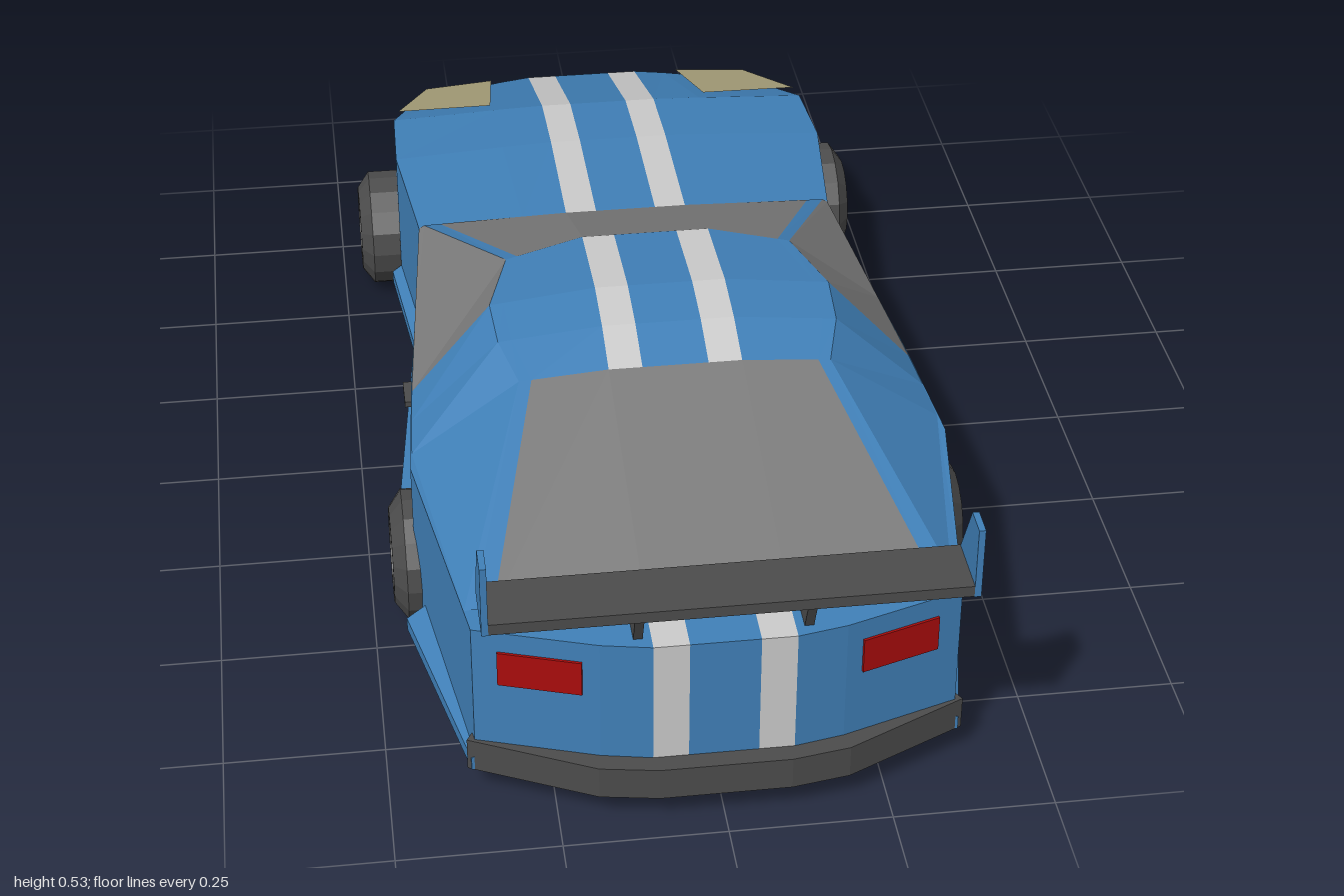
import * as THREE from 'three';

const mat = (color) => new THREE.MeshStandardMaterial({ color, flatShading: true, side: THREE.DoubleSide });
const PAINT = mat(0x4080b8), STRIPE = mat(0xcccccc), GLASS = mat(0x7c7c7c), DARK = mat(0x4c4c4c);
const RED = mat(0xaa0c0c), LAMP = mat(0xaaa27c), ORANGE = mat(0xd08038), RIM = mat(0xb4b4b4);

export function createModel() {
  const car = new THREE.Group();
  car.name = 'sportsCar';

  function add(name, geometry, material, parent = car) {
    const mesh = new THREE.Mesh(geometry, material);
    mesh.name = name;
    parent.add(mesh);
    return mesh;
  }

  // Skin over rows of points; pick(row, column) chooses the material of each quad
  function sheet(name, rows, pick) {
    const groups = new Map();
    for (let i = 0; i < rows.length - 1; i++) {
      for (let j = 0; j < rows[0].length - 1; j++) {
        const m = pick(i, j);
        if (!groups.has(m)) groups.set(m, []);
        const a = rows[i][j], b = rows[i][j + 1], c = rows[i + 1][j], d = rows[i + 1][j + 1];
        groups.get(m).push(...a, ...c, ...b, ...b, ...c, ...d);
      }
    }
    for (const [m, pos] of groups) {
      const g = new THREE.BufferGeometry();
      g.setAttribute('position', new THREE.Float32BufferAttribute(pos, 3));
      g.computeVertexNormals();
      const part = m === STRIPE ? 'Stripes' : m === GLASS ? 'Glass' : 'Panels';
      add(name + part, g, m);
    }
  }
  const flip = ([x, y, z]) => [-x, y, z];
  const mirrorRow = (half) => [...half.map(flip).reverse(), ...half];

  // Flat outline in (z, y), given a thickness along x and centred on x
  function plate(name, points, x, thickness, material) {
    const g = new THREE.ExtrudeGeometry(new THREE.Shape(points.map((p) => new THREE.Vector2(...p))),
      { depth: thickness, bevelEnabled: false });
    g.rotateY(-Math.PI / 2).translate(x + thickness / 2, 0, 0);
    return add(name, g, material);
  }

  // Lower hull stations: z, half width, centre height, edge height, bow of the edge in z
  const top = [
    [-1, 0.33, 0.215, 0.208, 0.05], [-0.7, 0.39, 0.315, 0.303, 0], [-0.53, 0.395, 0.331, 0.315, 0],
    [-0.27, 0.368, 0.335, 0.315, 0], [0.23, 0.415, 0.315, 0.315, 0], [0.45, 0.43, 0.315, 0.315, 0],
    [0.94, 0.368, 0.315, 0.315, -0.075],
  ];
  const floorY = [0.085, 0.07, 0.055, 0.05, 0.05, 0.05, 0.05];
  const floor = top.map(([z, w, , , bow], i) => [z, w, floorY[i], floorY[i], bow]);
  const noseMid = [-0.96, 0.325, 0.15, 0.15, 0.045];
  const hullRow = ([z, w, yc, ye, bow]) => mirrorRow([
    [0.053, yc, z], [0.107, yc, z],
    [w * 0.5, yc + (ye - yc) * 0.25, z + bow * 0.2], [w, ye, z + bow],
  ]);
  const striped = (j) => (j === 2 || j === 4 ? STRIPE : PAINT);
  sheet('hull', [...top, ...floor.slice().reverse()].map(hullRow), (i, j) => striped(j));
  sheet('nose', [floor[0], noseMid, top[0]].map(hullRow), () => PAINT);

  // Body sides
  const edge = ([z, w, , ye, bow]) => [w, ye, z + bow];
  const mids = top.map((t, i) => (i ? [t[0], t[1], 0, (t[3] + floorY[i]) / 2, t[4]] : noseMid));
  const side = [top, mids, floor].map((r) => r.map(edge));
  sheet('leftSide', side.map((r) => r.slice().reverse()), () => PAINT);
  sheet('rightSide', side.map((r) => r.map(flip)), () => PAINT);

  // Cabin stations: centre z and height, roof edge point, belt foot point
  const cabin = [
    [-0.265, 0.336, [0.36, 0.32, -0.28], [0.369, 0.314, -0.28]],
    [0.01, 0.452, [0.24, 0.442, 0.05], [0.398, 0.315, 0.05]],
    [0.2, 0.47, [0.28, 0.45, 0.2], [0.414, 0.315, 0.235]],
    [0.3, 0.46, [0.275, 0.443, 0.3], [0.42, 0.315, 0.32]],
    [0.39, 0.436, [0.25, 0.425, 0.39], [0.425, 0.315, 0.41]],
    [0.87, 0.318, [0.36, 0.317, 0.82], [0.374, 0.315, 0.82]],
  ];
  const cabinRows = cabin.map(([z, y, e, foot]) => {
    const k = (0.92 * e[0] - 0.107) / (e[0] - 0.107);
    const inset = [0.92 * e[0], y + (e[1] - y) * k, z + (e[2] - z) * k];
    return mirrorRow([[0.053, y, z], [0.107, y, z], inset, e, foot]);
  });
  sheet('cabin', cabinRows, (i, j) => {
    if (j === 0 || j === 8) return i < 2 ? GLASS : PAINT;
    if (j === 1 || j === 7) return PAINT;
    return i === 0 || i === 4 ? GLASS : j === 3 || j === 5 ? STRIPE : PAINT;
  });

  // Rear bumper follows the curve of the tail
  const half = [[0.36, 0.83], [0.38, 0.865], [0.19, 0.955], [0.1, 0.97]];
  const outline = [...half, ...half.map(([x, z]) => [-x, z]).reverse()];
  const bumper = new THREE.ExtrudeGeometry(new THREE.Shape(outline.map((p) => new THREE.Vector2(...p))),
    { depth: 0.055, bevelEnabled: false });
  add('rearBumper', bumper.rotateX(Math.PI / 2).translate(0, 0.105, 0), DARK);

  // Rear wing
  add('wingBlade', new THREE.BoxGeometry(0.7, 0.018, 0.1).translate(0, 0.42, 0.95), DARK);

  // Star for the wheel rims
  const star = new THREE.Shape();
  for (let i = 0; i < 10; i++) {
    const a = (i * Math.PI) / 5 + Math.PI / 2, r = i % 2 ? 0.02 : 0.06;
    star[i ? 'lineTo' : 'moveTo'](r * Math.cos(a), r * Math.sin(a));
  }
  const starGeo = new THREE.ExtrudeGeometry(star, { depth: 0.01, bevelEnabled: false })
    .rotateY(Math.PI / 2).translate(0.452, 0, 0);
  const tyreProfile = [[0, 0.345], [0.107, 0.345], [0.107, 0.445], [0.078, 0.466], [0.064, 0.466], [0.06, 0.452], [0, 0.452]];
  const tyreGeo = new THREE.LatheGeometry(tyreProfile.map((p) => new THREE.Vector2(...p)), 16).rotateZ(-Math.PI / 2);

  for (const s of [1, -1]) {
    const label = s > 0 ? 'left' : 'right';
    // Wheels
    for (const [end, z] of [['Front', -0.64], ['Rear', 0.395]]) {
      const wheel = new THREE.Group();
      wheel.name = `${label}${end}Wheel`;
      add('tyre', tyreGeo, DARK, wheel);
      add('rimStar', starGeo, RIM, wheel);
      wheel.position.set(0, 0.107, z);
      wheel.scale.x = s;
      car.add(wheel);
    }
    // Side skirts
    for (const path of [[[-0.53, 0.412], [-0.28, 0.388], [0.27, 0.45]], [[0.52, 0.45], [0.87, 0.374]]]) {
      const rows = path.map(([z, x]) => {
        const r = [[x - 0.06, 0.05, z], [x - 0.06, 0.1, z], [x - 0.03, 0.095, z], [x, 0.072, z], [x, 0.05, z], [x - 0.06, 0.05, z]];
        return s > 0 ? r : r.map(flip).reverse();
      });
      const cap = (r) => r.map(() => [r[0][0], 0.07, r[0][2]]);
      sheet(`${label}Skirt`, [cap(rows[0]), ...rows, cap(rows[rows.length - 1])], () => PAINT);
    }
    // Wing end plates and struts
    plate(`${label}WingEndPlate`, [[1, 0.528], [0.955, 0.528], [0.902, 0.43], [0.902, 0.41], [1, 0.41]], s * 0.355, 0.01, PAINT);
    plate(`${label}WingStrut`, [[0.96, 0.412], [0.915, 0.412], [0.87, 0.31], [0.915, 0.31]], s * 0.127, 0.014, DARK);

    // Tail lamp lies on the angled tail panel
    const tail = add(`${label}TailLamp`, new THREE.BoxGeometry(0.128, 0.06, 0.008), RED);
    tail.position.set(s * 0.27, 0.25, 0.897);
    tail.rotation.y = s * 0.315;

    // Headlamp cover on the sloping bonnet
    const onHood = (x, z) => {
      const k = (z + 1) / 0.3;
      return [s * x, 0.218 + 0.097 * k + (x > 0.25 ? 0.003 : 0.004), z];
    };
    sheet(`${label}Headlamp`, s > 0
      ? [[onHood(0.185, -0.96), onHood(0.315, -0.92)], [onHood(0.205, -0.715), onHood(0.38, -0.715)]]
      : [[onHood(0.315, -0.92), onHood(0.185, -0.96)], [onHood(0.38, -0.715), onHood(0.205, -0.715)]], () => LAMP);

    // Nose intake, fog lamp and indicator
    const intake = new THREE.Group();
    intake.name = `${label}Intake`;
    add('intakeOpening', new THREE.BoxGeometry(0.1, 0.04, 0.03), DARK, intake);
    add('fogLamp', new THREE.BoxGeometry(0.05, 0.024, 0.034), RIM, intake);
    intake.position.set(s * 0.25, 0.128, -0.932);
    intake.rotation.y = -s * 0.24;
    car.add(intake);
    add(`${label}Indicator`, new THREE.CylinderGeometry(0.014, 0.014, 0.03, 10).rotateX(Math.PI / 2)
      .translate(s * 0.3, 0.176, -0.94), ORANGE);

    // Door handle
    add(`${label}DoorHandle`, new THREE.BoxGeometry(0.024, 0.01, 0.06).translate(s * 0.413, 0.266, 0.17), DARK);
  }
  return car;
}
